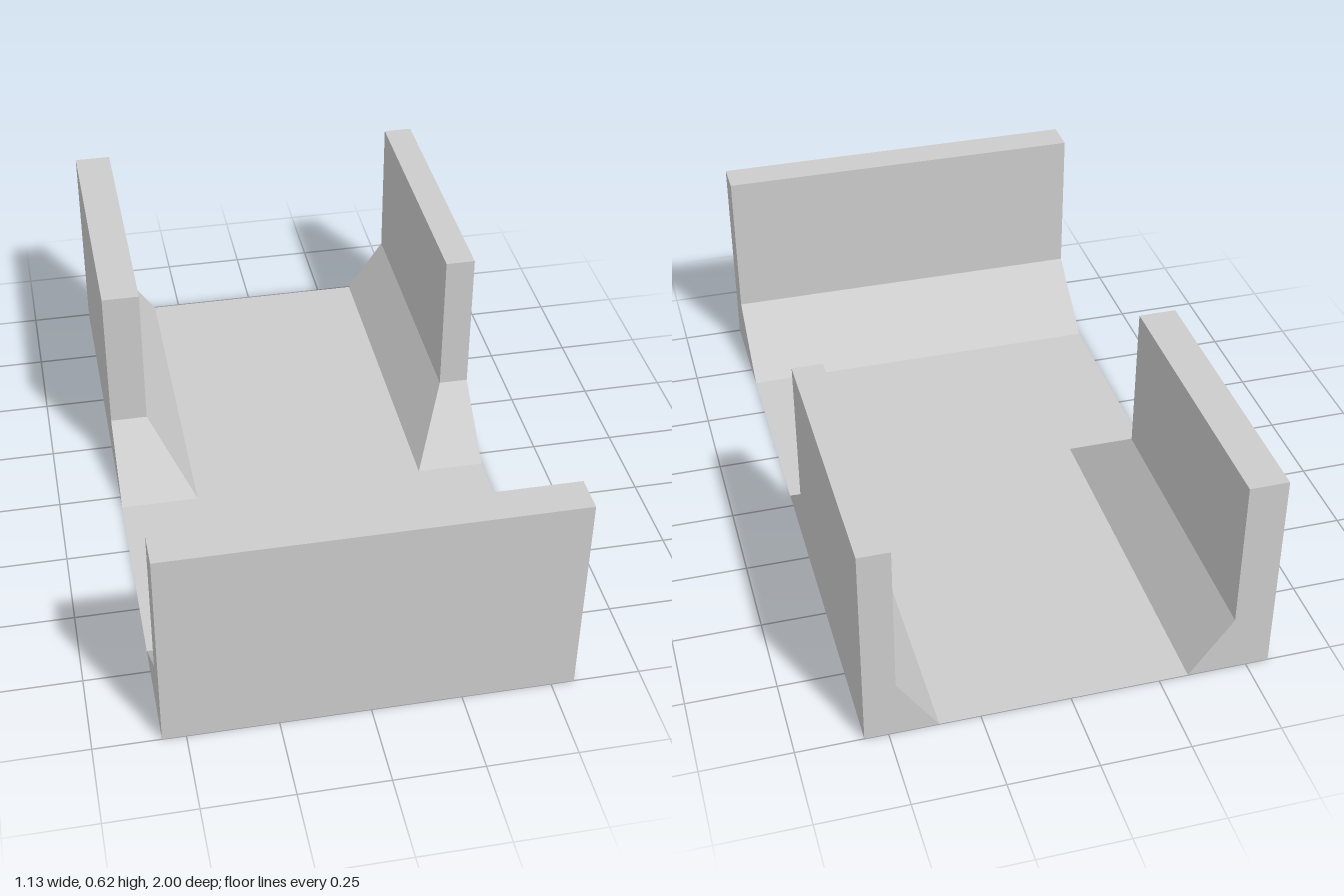
import * as THREE from 'three';

const HALF = 0.565;   // half width
const RISE = 0.17;    // height of the sloped footing
const Z0 = -0.165;    // front end of the side walls
const Z1 = 0.05;      // toe of the sloped wall ends

const material = new THREE.MeshStandardMaterial({
  color: 0xcccccc, flatShading: true, side: THREE.DoubleSide,
});

function shapeOf(points) {
  return new THREE.Shape(points.map(([x, y]) => new THREE.Vector2(x, y)));
}

function extrude(points, depth) {
  return new THREE.ExtrudeGeometry(shapeOf(points), { depth, bevelEnabled: false });
}

function named(name, geometry) {
  const mesh = new THREE.Mesh(geometry, material);
  mesh.name = name;
  return mesh;
}

// Hollow sloped end of a side wall: front slope, inner hip and outer cheek
function wallEnd(s, wall, toe) {
  const E = [s * HALF, RISE, Z0], P = [s * wall, RISE, Z0];
  const A = [s * toe, 0, Z0], B = [s * toe, 0, Z1];
  const D = [s * HALF, 0, Z1], F = [s * HALF, 0, Z0];
  const faces = [[E, P, B], [E, B, D], [P, A, B], [E, D, F]];
  const positions = faces.flatMap((f) => (s > 0 ? f : [...f].reverse())).flat();
  const geometry = new THREE.BufferGeometry();
  geometry.setAttribute('position', new THREE.Float32BufferAttribute(positions, 3));
  geometry.computeVertexNormals();
  return geometry;
}

export function createModel() {
  const model = new THREE.Group();
  model.name = 'openTray';

  // Side walls, each with a sloped inner footing and a sloped front end
  const sides = [
    { name: 'left', s: 1, wall: 0.477, toe: 0.363 },
    { name: 'right', s: -1, wall: 0.455, toe: 0.333 },
  ];
  for (const { name, s, wall, toe } of sides) {
    const profile = [[HALF, 0], [HALF, 0.617], [wall, 0.617], [wall, RISE], [toe, 0]]
      .map(([x, y]) => [s * x, y]);
    const body = extrude(profile, Z0 + 1).translate(0, 0, -1);
    model.add(named(`${name}Wall`, body));
    model.add(named(`${name}WallEnd`, wallEnd(s, wall, toe)));
  }

  // Front wall with a sloped footing, profile drawn in z and y
  const front = extrude([[1, 0], [1, 0.624], [0.897, 0.624], [0.897, RISE], [0.67, 0]], 2 * HALF);
  front.rotateY(-Math.PI / 2).translate(HALF, 0, 0);
  model.add(named('frontWall', front));

  // Thin floor between the footings, left open beneath the wall ends
  const [l, r] = sides;
  const floor = new THREE.ShapeGeometry(shapeOf([
    [-HALF, -0.67], [HALF, -0.67], [HALF, -Z1], [l.toe, -Z1],
    [l.toe, 1], [-r.toe, 1], [-r.toe, -Z1], [-HALF, -Z1],
  ]));
  floor.rotateX(-Math.PI / 2);
  model.add(named('floor', floor));

  return model;
}
